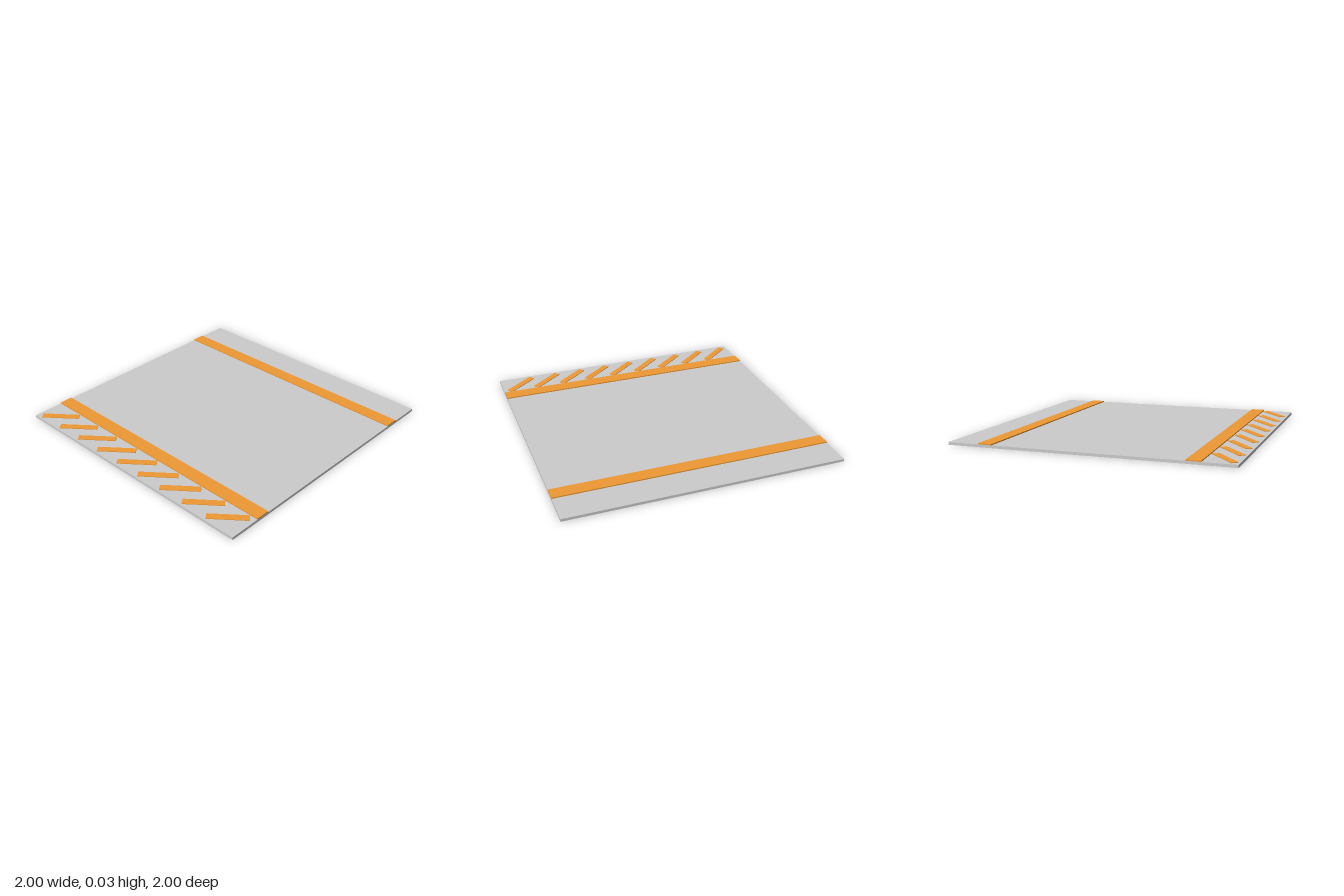
import * as THREE from 'three';

export function createModel() {
  const model = new THREE.Group();
  const grey = new THREE.MeshStandardMaterial({ color: 0xcccccc });
  const orange = new THREE.MeshStandardMaterial({ color: 0xee9933 });
  const slabTop = 0.019;

  // Box whose underside sits at the given height
  function addBox(name, material, [w, h, d], [x, bottom, z]) {
    const mesh = new THREE.Mesh(new THREE.BoxGeometry(w, h, d), material);
    mesh.name = name;
    mesh.position.set(x, bottom + h / 2, z);
    model.add(mesh);
    return mesh;
  }

  // Square floor slab
  addBox('floorSlab', grey, [2, slabTop, 2], [0, 0, 0]);

  // Raised bands across the full width, near the front and back
  addBox('frontBand', orange, [2, 0.008, 0.1], [0, slabTop, 0.72]);
  addBox('backBand', orange, [2, 0.008, 0.1], [0, slabTop, -0.72]);

  // Row of slanted hazard stripes along the front edge
  const count = 9;
  for (let i = 0; i < count; i++) {
    const x = -0.85 + (1.7 * i) / (count - 1);
    const stripe = addBox('hazardStripe' + (i + 1), orange, [0.275, 0.004, 0.05], [x, slabTop, 0.88]);
    stripe.rotation.y = 0.68;
  }

  return model;
}
